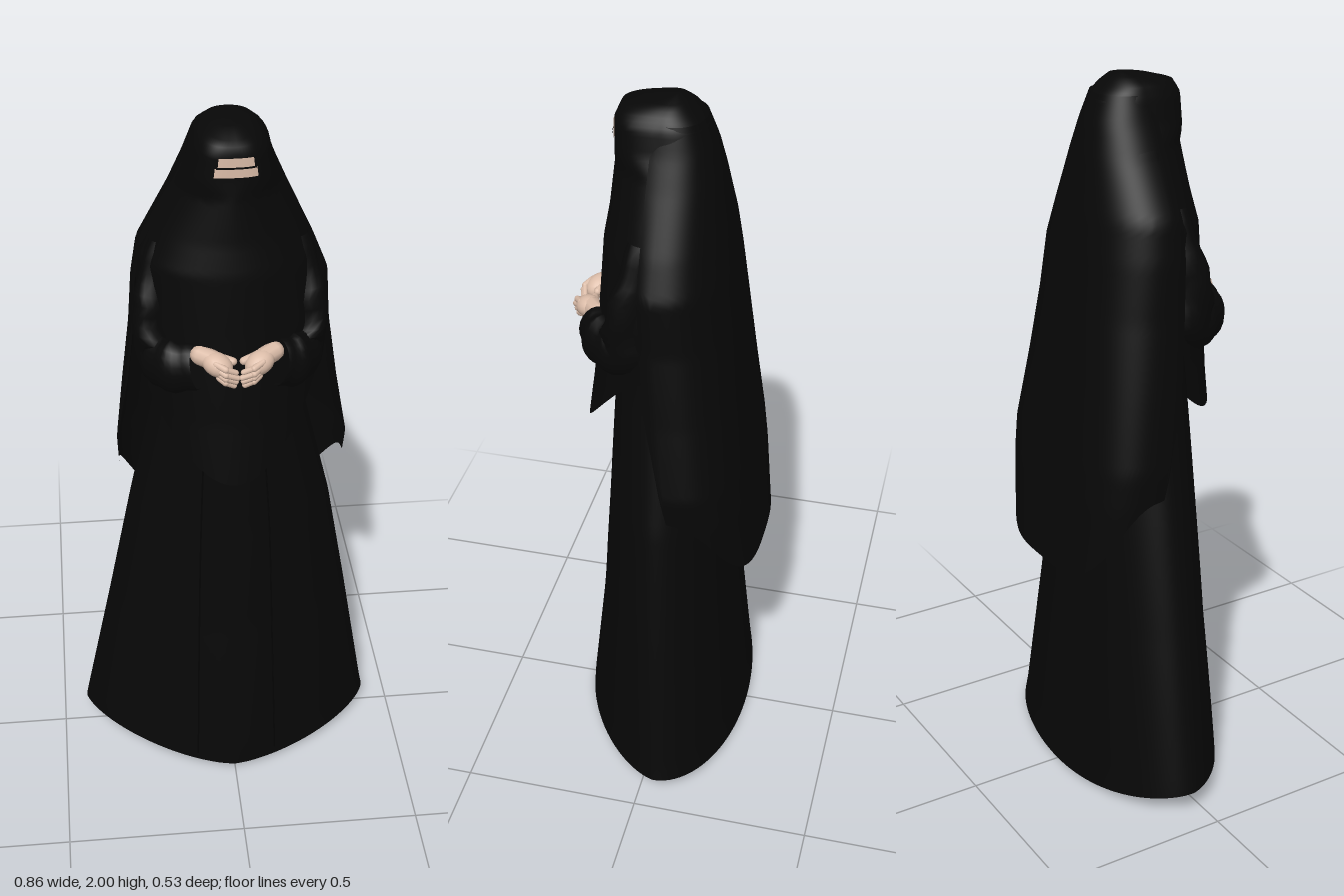
import * as THREE from 'three';
import { mergeVertices } from 'three/addons/utils/BufferGeometryUtils.js';

const cloth = new THREE.MeshStandardMaterial({ color: 0x070707, side: THREE.DoubleSide });
cloth.name = 'black cloth';
const seam = new THREE.MeshStandardMaterial({ color: 0x030303, side: THREE.DoubleSide });
seam.name = 'dark seam';
const skin = new THREE.MeshStandardMaterial({ color: 0xdcbda9, side: THREE.DoubleSide });
skin.name = 'skin';

// Cross-section rows: y, half width right (-x), half width left (+x), front z, back z,
// z of widest point, front squareness, back squareness
const hoodRows = [
  [2.0, 0, 0, -0.01, -0.01, -0.01, 2, 2], [1.995, 0.04, 0.045, 0.04, -0.03, 0, 2, 2],
  [1.97, 0.08, 0.08, 0.132, -0.06, 0.01, 2.5, 2.2], [1.94, 0.094, 0.1, 0.145, -0.09, 0.01, 2.9, 2.2],
  [1.875, 0.112, 0.115, 0.145, -0.11, 0, 2.9, 2.2], [1.82, 0.143, 0.142, 0.15, -0.124, 0, 1.8, 2.2],
  [1.7, 0.2, 0.195, 0.163, -0.145, 0, 1.9, 2.2], [1.62, 0.232, 0.225, 0.177, -0.158, 0, 2, 2.2],
  [1.45, 0.24, 0.25, 0.19, -0.16, 0, 2, 2], [1.2, 0.235, 0.24, 0.213, -0.16, 0, 2, 2],
  [1.03, 0.23, 0.23, 0.237, -0.16, 0, 2, 2],
];
const capeRows = [
  [1.95, 0.088, 0.093, 0.12, -0.085, 0, 2, 2.2], [1.88, 0.115, 0.117, 0.13, -0.112, 0, 2, 2.2],
  [1.8, 0.152, 0.152, 0.14, -0.131, 0, 2, 2.2], [1.65, 0.234, 0.222, 0.14, -0.157, 0, 2, 2.2],
  [1.55, 0.25, 0.262, 0.14, -0.171, 0, 2, 2.3], [1.4, 0.26, 0.272, 0.14, -0.19, -0.01, 2, 2.4],
  [1.2, 0.282, 0.303, 0.13, -0.212, -0.03, 2, 2.6], [1.0, 0.302, 0.34, 0.09, -0.236, -0.05, 2, 2.8],
  [0.9, 0.298, 0.334, 0.07, -0.248, -0.06, 2, 2.8], [0.68, 0.28, 0.3, 0.05, -0.267, -0.07, 2, 2.8],
];
const skirtRows = [
  [1.6, 0.15, 0.15, 0.11, -0.1, 0, 2, 2], [1.2, 0.2, 0.2, 0.15, -0.135, 0, 2, 2],
  [0.83, 0.278, 0.29, 0.172, -0.16, -0.005, 1.8, 2], [0.5, 0.343, 0.348, 0.197, -0.186, -0.015, 1.65, 2],
  [0.07, 0.43, 0.42, 0.247, -0.222, -0.035, 1.5, 2], [0, 0.44, 0.435, 0.252, -0.23, -0.04, 1.5, 2],
];

// Point on a cloth body at height y; angle 0 faces front, quarter turn faces +x
function bodyPoint(rows, y, a, grow = 0) {
  let i = 0;
  while (i < rows.length - 2 && y < rows[i + 1][0]) i++;
  const t = THREE.MathUtils.clamp((rows[i][0] - y) / (rows[i][0] - rows[i + 1][0]), 0, 1);
  const [, xr, xl, zf, zb, zc, nf, nb] = rows[i].map((v, k) => THREE.MathUtils.lerp(v, rows[i + 1][k], t));
  const s = Math.sin(a), c = Math.cos(a), n = c > 0 ? nf : nb;
  const px = Math.sign(s) * Math.abs(s) ** (2 / n), pz = Math.abs(c) ** (2 / n);
  return new THREE.Vector3(px * ((s < 0 ? xr : xl) + grow), y,
    zc + pz * (c > 0 ? zf - zc + grow : zb - zc - grow));
}

// Grid surface from a function of u (around) and v (downward)
function sheet(nu, nv, fn) {
  const pos = [], idx = [];
  for (let j = 0; j <= nv; j++)
    for (let i = 0; i <= nu; i++) pos.push(...fn(i / nu, j / nv).toArray());
  for (let j = 0; j < nv; j++)
    for (let i = 0; i < nu; i++) {
      const a = j * (nu + 1) + i, b = a + nu + 1;
      idx.push(a, b, a + 1, b, b + 1, a + 1);
    }
  let g = new THREE.BufferGeometry();
  g.setAttribute('position', new THREE.Float32BufferAttribute(pos, 3));
  g.setIndex(idx);
  g = mergeVertices(g, 1e-5);
  g.computeVertexNormals();
  return g;
}

function add(parent, name, geometry, material) {
  const m = new THREE.Mesh(geometry, material);
  m.name = name;
  parent.add(m);
  return m;
}

// Cloth hanging from height top to a hem that varies with the angle
const drape = (rows, top, hem, a0, a1) => sheet(96, 64, (u, v) => {
  const a = THREE.MathUtils.lerp(a0, a1, u);
  return bodyPoint(rows, THREE.MathUtils.lerp(top, hem(a), v), a);
});

// Piece lying on the hood between two heights and two angles
const facePiece = (y0, y1, a0, a1, grow) => sheet(16, 2, (u, v) =>
  bodyPoint(hoodRows, THREE.MathUtils.lerp(y1, y0, v), THREE.MathUtils.lerp(a0, a1, u), grow));

// Sleeve with a changing radius; each stop is x, y, z, radius
function sleeve(stops) {
  const curve = new THREE.CatmullRomCurve3(stops.map(s => new THREE.Vector3(s[0], s[1], s[2])));
  return sheet(20, 24, (u, v) => {
    const k = Math.min(v * (stops.length - 1), stops.length - 1.001), i = Math.floor(k);
    const r = THREE.MathUtils.lerp(stops[i][3], stops[i + 1][3], k - i) * (1 + 0.04 * Math.sin(v * 34));
    const d = curve.getTangent(v), side = new THREE.Vector3(-d.z, 0, d.x).normalize();
    const up = side.clone().cross(d);
    return curve.getPoint(v).addScaledVector(side, Math.cos(u * Math.PI * 2) * r * 0.7)
      .addScaledVector(up, Math.sin(u * Math.PI * 2) * r);
  });
}

// Rounded rod between two points
function rod(parent, name, a, b, r) {
  const p = new THREE.Vector3(...a), q = new THREE.Vector3(...b), d = q.clone().sub(p);
  const m = add(parent, name, new THREE.CapsuleGeometry(r, d.length(), 4, 10), skin);
  m.position.copy(p).add(q).multiplyScalar(0.5);
  m.quaternion.setFromUnitVectors(new THREE.Vector3(0, 1, 0), d.normalize());
}

// Hand on side s (+1 is left), reaching to the middle
function makeHand(s) {
  const hand = new THREE.Group();
  hand.name = s > 0 ? 'leftHand' : 'rightHand';
  const at = (x, y, z) => [0.008 + s * x, y, z];
  rod(hand, 'wrist', at(0.095, 1.408, 0.182), at(0.065, 1.405, 0.205), 0.026);
  const palm = add(hand, 'palm', new THREE.SphereGeometry(1, 18, 12), skin);
  palm.scale.set(0.043, 0.03, 0.033);
  palm.position.set(...at(0.054, 1.398, 0.217));
  palm.rotation.set(0, s * 0.6, s * 0.3);
  for (let i = 0; i < 4; i++) {
    const y = 1.411 - i * 0.0135, tuck = Math.abs(i - 1) * 0.004;
    rod(hand, 'finger', at(0.06 - i * 0.003, y, 0.237), at(0.036, y - 0.008, 0.257 - tuck), 0.009);
    rod(hand, 'fingertip', at(0.036, y - 0.008, 0.257 - tuck), at(0.006 + tuck, y - 0.022, 0.25 - tuck), 0.0078);
  }
  rod(hand, 'thumb', at(0.055, 1.412, 0.198), at(0.014, 1.402, 0.212), 0.011);
  return hand;
}

export function createModel() {
  const model = new THREE.Group();
  model.name = 'veiledWoman';

  // Long skirt with a hem raised at the sides
  const skirtHem = a => (Math.sin(a) < 0 ? 0.065 : 0.032) * Math.sin(a) ** 2 + Math.max(0, 0.01 * Math.cos(a));
  add(model, 'skirt', drape(skirtRows, 1.6, skirtHem, -Math.PI, Math.PI), cloth);

  // Hood and front veil, rounded at the bottom
  const veilHem = a => (Math.cos(a) > 0 ? 1.03 + 0.27 * Math.sin(a) ** 2 : 1.3);
  add(model, 'hoodAndFrontVeil', drape(hoodRows, 2, veilHem, -Math.PI, Math.PI), cloth);

  // Back cape falling lower than the veil
  const capeHem = a => (Math.cos(a) > 0 ? 0.92 + 1.2 * Math.cos(a) : 0.68 + 0.24 * Math.sin(a) ** 4);
  add(model, 'backCape', drape(capeRows, 1.95, capeHem, 1.3, Math.PI * 2 - 1.3), cloth);

  // Eye opening
  add(model, 'lowerFace', facePiece(1.879, 1.904, -0.28, 0.42, 0.0025), skin);
  add(model, 'brow', facePiece(1.904, 1.93, -0.22, 0.36, 0.0025), skin);
  add(model, 'lashLine', facePiece(1.902, 1.907, -0.25, 0.39, 0.004), cloth);

  // Arms and folded hands
  for (const s of [-1, 1]) {
    add(model, s > 0 ? 'leftSleeve' : 'rightSleeve', sleeve([
      [s * 0.15, 1.66, 0.03, 0.06], [s * 0.19, 1.5, 0.06, 0.07], [s * 0.195, 1.37, 0.09, 0.075],
      [s * 0.158, 1.364, 0.155, 0.074], [s * 0.103 + 0.008, 1.376, 0.186, 0.062],
    ]), cloth);
    model.add(makeHand(s));
  }

  // Front skirt seams
  for (const a of [-0.36, 0.4]) {
    const pts = [1.15, 1, 0.83, 0.66, 0.5, 0.25, 0.04].map(y => bodyPoint(skirtRows, y, a, 0.001));
    add(model, 'skirtSeam', new THREE.TubeGeometry(new THREE.CatmullRomCurve3(pts), 32, 0.0025, 5), seam);
  }
  return model;
}
